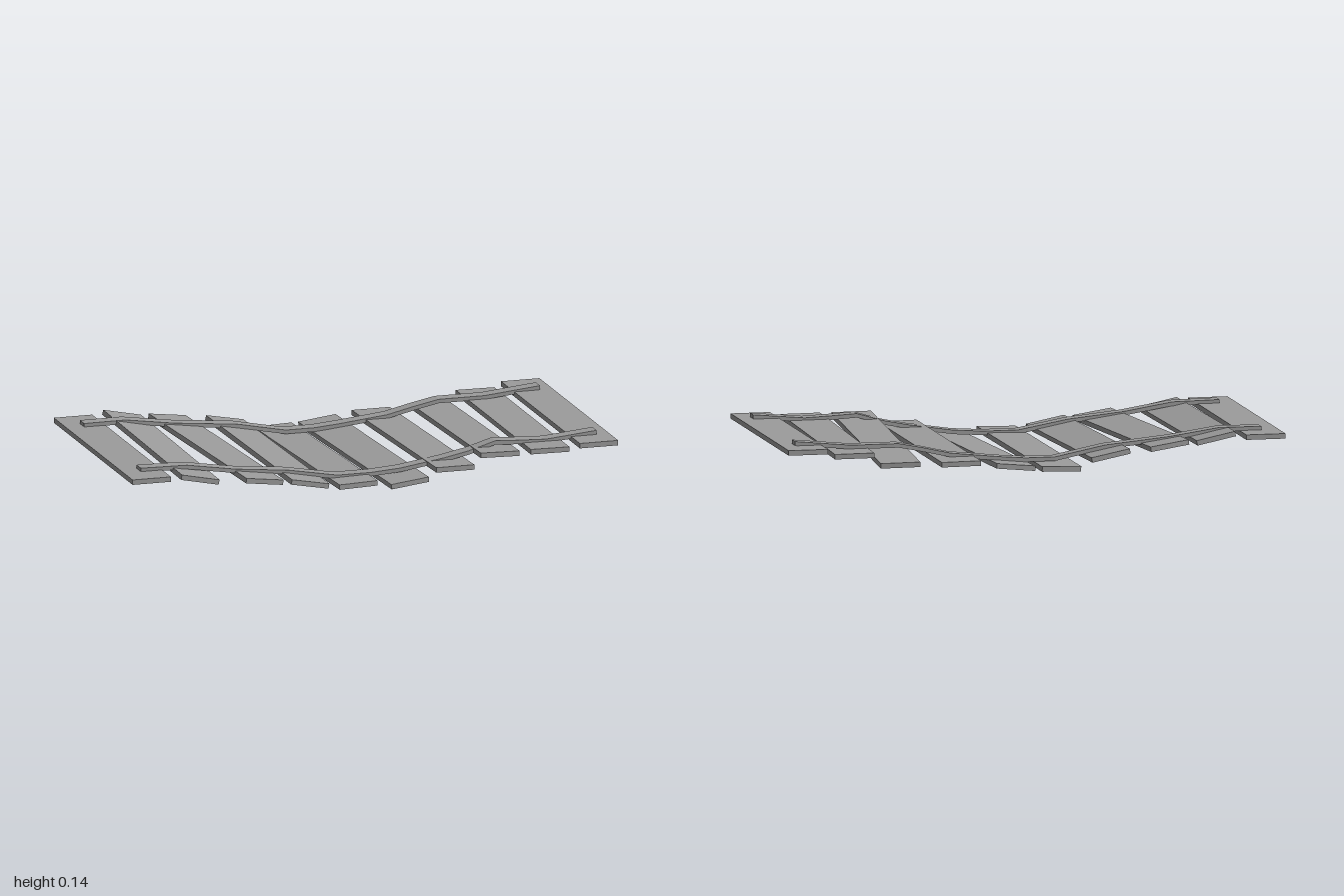
import * as THREE from 'three';

const material = new THREE.MeshStandardMaterial({ color: 0x9c9c9c, flatShading: true });

// Crooked planks: centre x, centre y, sideways skew, rise to the front, rise to the left
const PLANKS = [
  [-0.921, 0.115, 0, 0, 0],
  [-0.721, 0.109, 0, -0.012, -0.032],
  [-0.495, 0.083, 0.08, -0.018, -0.022],
  [-0.283, 0.055, 0.03, -0.012, -0.03],
  [-0.084, 0.022, 0.03, 0.014, 0.004],
  [0.114, 0.024, 0.06, -0.008, 0.016],
  [0.317, 0.056, 0.025, 0.016, -0.001],
  [0.532, 0.079, -0.035, 0.055, -0.002],
  [0.727, 0.1, -0.015, 0.012, -0.001],
  [0.921, 0.115, 0, 0, 0],
];

// Straps: centre line points (x, y), one list for each side
const FRONT_STRAP = [[-0.93, 0.131], [-0.74, 0.128], [-0.54, 0.096], [-0.32, 0.074], [-0.12, 0.038],
  [0.02, 0.038], [0.14, 0.046], [0.32, 0.073], [0.42, 0.093], [0.53, 0.125], [0.62, 0.12], [0.74, 0.115], [0.947, 0.134]];
const BACK_STRAP = [[-0.93, 0.131], [-0.76, 0.132], [-0.56, 0.103], [-0.3, 0.078], [-0.1, 0.038],
  [0.02, 0.038], [0.12, 0.046], [0.32, 0.067], [0.43, 0.092], [0.53, 0.112], [0.72, 0.112], [0.947, 0.134]];

// A flat strap: the thickened side outline extruded across its width
function createStrap(name, points, z) {
  const half = 0.008, width = 0.055;
  const upper = points.map(([x, y]) => new THREE.Vector2(x, y + half));
  const lower = points.map(([x, y]) => new THREE.Vector2(x, y - half)).reverse();
  const geometry = new THREE.ExtrudeGeometry(new THREE.Shape([...lower, ...upper]), {
    depth: width, bevelEnabled: false,
  });
  const strap = new THREE.Mesh(geometry, material);
  strap.name = name;
  strap.position.z = z - width / 2;
  return strap;
}

export function createModel() {
  const bridge = new THREE.Group();
  bridge.name = 'plankBridge';

  // Walkway planks
  const width = 0.158, length = 1.01;
  const plankGeometry = new THREE.BoxGeometry(width, 0.02, length);
  PLANKS.forEach(([x, y, skew, pitch, roll], i) => {
    const plank = new THREE.Mesh(plankGeometry, material);
    plank.name = `plank${i + 1}`;
    plank.position.set(x, y, 0);
    plank.rotation.set(-Math.asin(pitch / length), Math.asin(skew / length), Math.asin(roll / width), 'YXZ');
    bridge.add(plank);
  });

  // Sagging straps along both edges
  bridge.add(createStrap('frontStrap', FRONT_STRAP, 0.365));
  bridge.add(createStrap('backStrap', BACK_STRAP, -0.36));
  return bridge;
}
